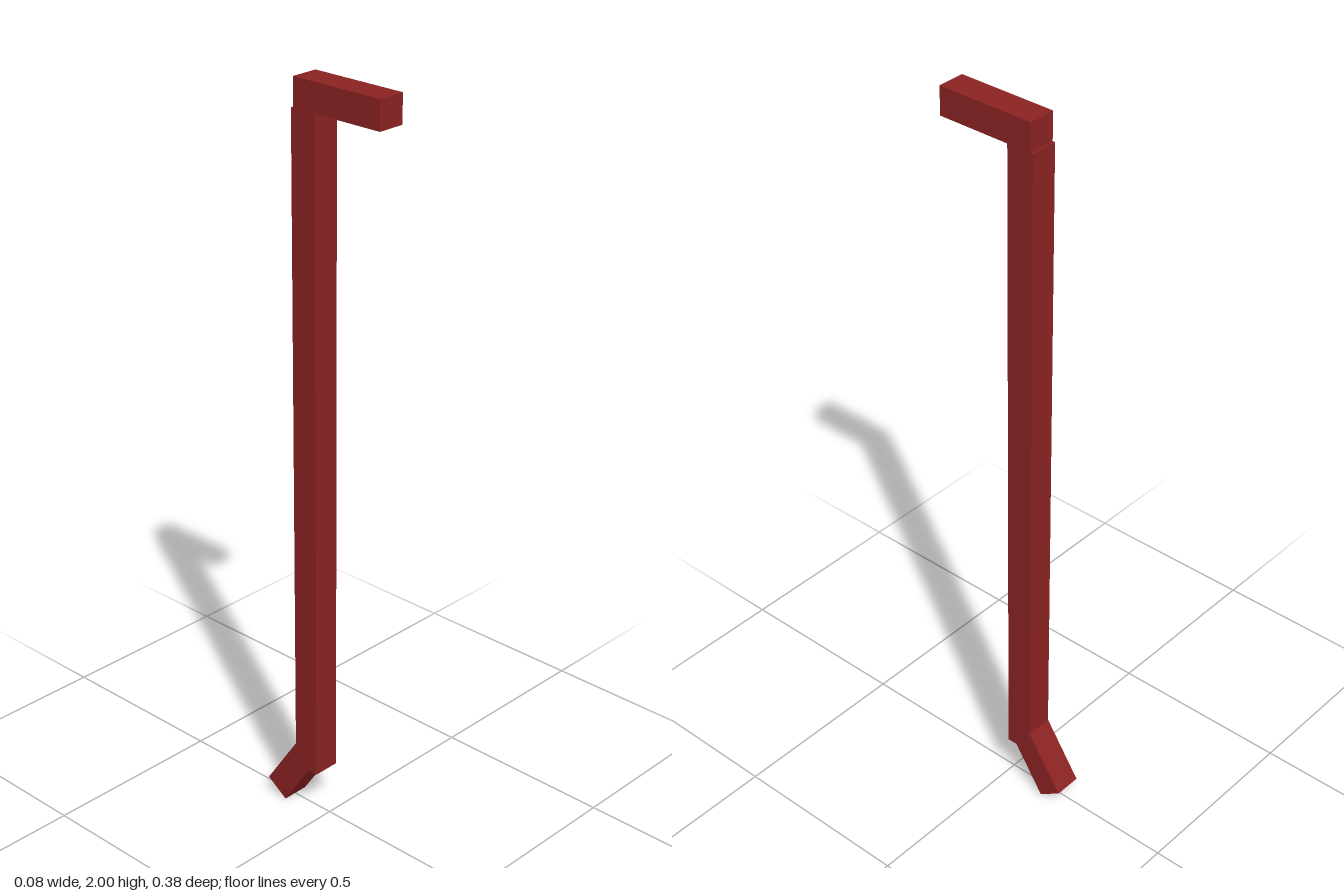
import * as THREE from 'three';

export function createModel() {
  const group = new THREE.Group();
  const darkRed = new THREE.MeshStandardMaterial({ color: 0x8b2222 });
  darkRed.name = 'darkRed';
  const T = 0.075; // square bar thickness

  const addBar = (name, height, depth, y, z, tilt = 0) => {
    const bar = new THREE.Mesh(new THREE.BoxGeometry(T, height, depth), darkRed);
    bar.name = name;
    bar.position.set(0, y, z);
    bar.rotation.x = tilt;
    group.add(bar);
  };

  // Long upright bar
  addBar('shaft', 1.795, T, 1.0275, -0.0495);
  // Forward arm resting on the shaft, set slightly ahead of its back face
  addBar('topArm', T, 0.27, 1.9625, 0.055);
  // Short foot bent backwards, its upper end buried in the shaft
  addBar('bentFoot', 0.2, T, 0.104, -0.103, 0.593);

  return group;
}
